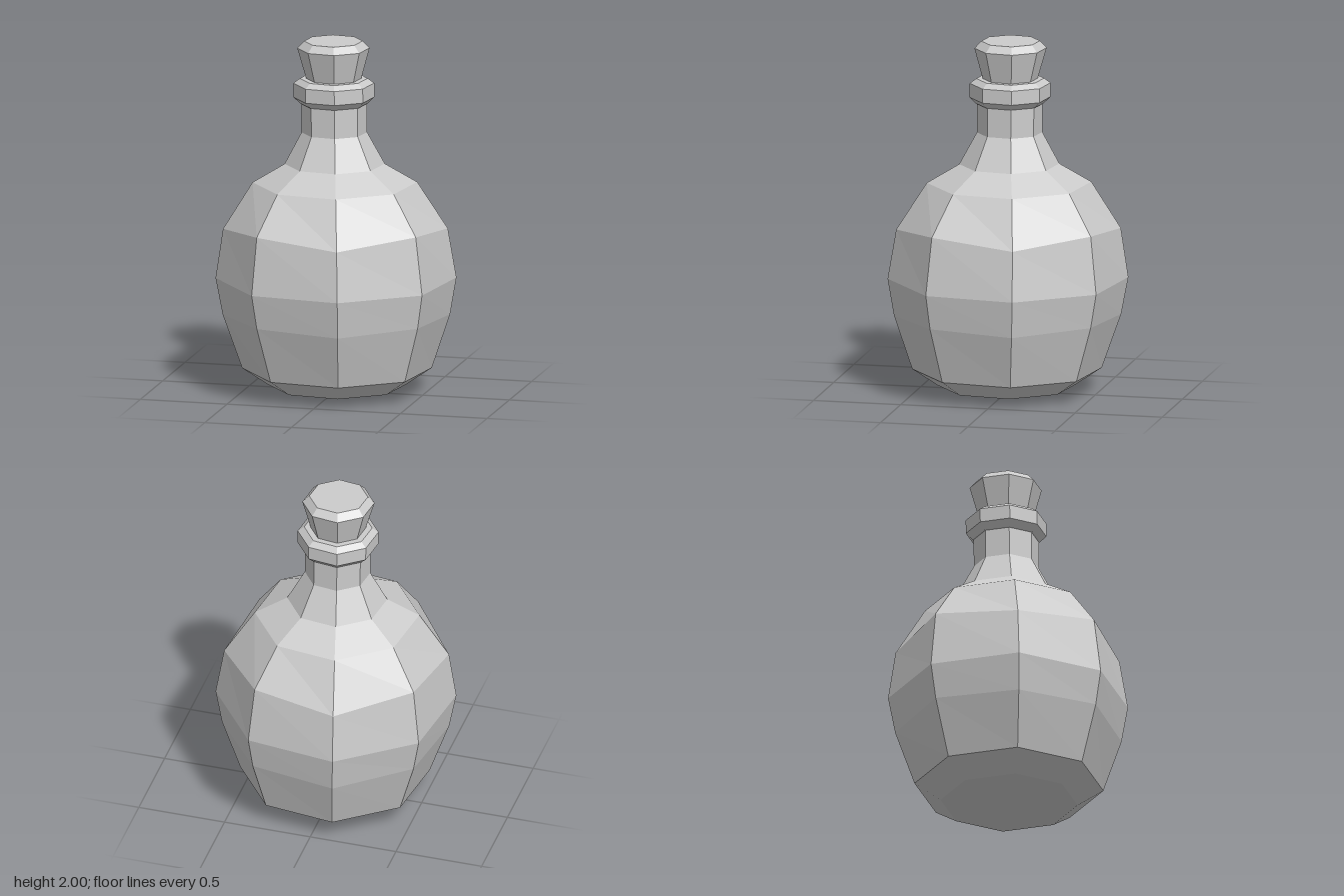
import * as THREE from 'three';

const SIDES = 8;
const START = THREE.MathUtils.degToRad(15);

// Eight-sided turned part with flat facets and a slight lean of the axis.
// Profile rows: [radius, height, extra height on every second corner]
function turned(name, rows, material) {
  const points = rows.map(([r, y]) => new THREE.Vector2(r, y));
  const geometry = new THREE.LatheGeometry(points, SIDES, START);
  const pos = geometry.attributes.position;
  for (let i = 0; i < pos.count; i++) {
    const corner = Math.floor(i / rows.length);
    const wobble = rows[i % rows.length][2] ?? 0;
    const lean = 0.65 - pos.getY(i);
    pos.setX(i, pos.getX(i) + lean * 0.0135);
    pos.setZ(i, pos.getZ(i) + lean * 0.008);
    if (corner % 2 === 1) pos.setY(i, pos.getY(i) + wobble);
  }
  const faceted = geometry.toNonIndexed();
  faceted.computeVertexNormals();
  const mesh = new THREE.Mesh(faceted, material);
  mesh.name = name;
  return mesh;
}

export function createModel() {
  const group = new THREE.Group();
  group.name = 'corkedBottle';
  const material = new THREE.MeshStandardMaterial({ color: 0xcccccc, flatShading: true });

  // Round belly, shoulder and neck
  group.add(turned('bottleBody', [
    [0, 0.005], [0.385, 0.04], [0.53, 0.135], [0.635, 0.44, 0.015],
    [0.673, 0.65], [0.628, 0.93, 0.045], [0.46, 1.195], [0.28, 1.3],
    [0.183, 1.48], [0.183, 1.66],
  ], material));

  // Chamfered collar around the mouth
  group.add(turned('collar', [
    [0.17, 1.64], [0.19, 1.645], [0.226, 1.68], [0.226, 1.76],
    [0.19, 1.787], [0.14, 1.787],
  ], material));

  // Tapered stopper
  group.add(turned('cork', [
    [0, 1.74], [0.145, 1.74], [0.155, 1.79], [0.202, 1.96], [0.164, 2], [0, 2],
  ], material));

  return group;
}
